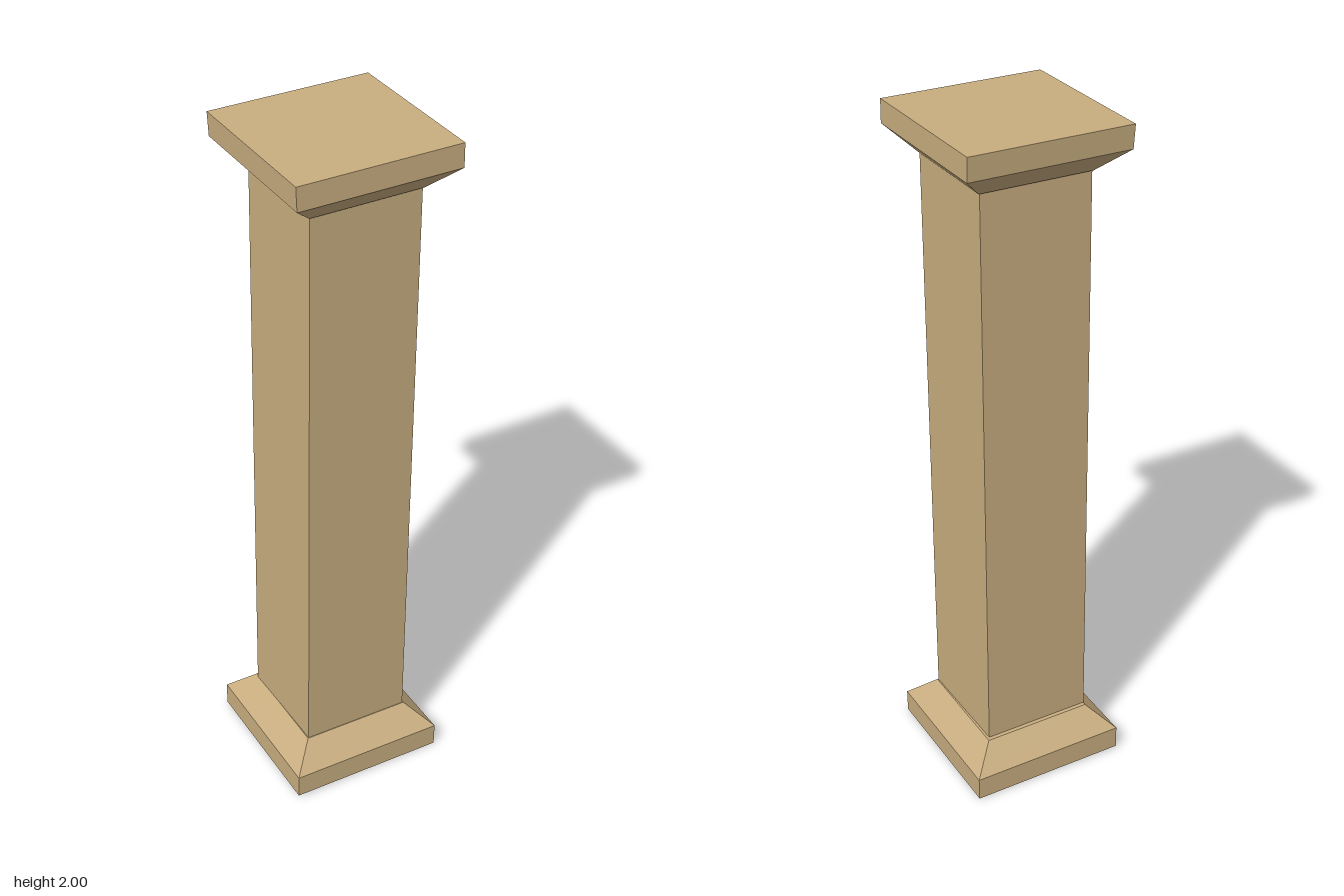
import * as THREE from 'three';

const sandstone = new THREE.MeshStandardMaterial({ color: 0xc8ad7f });
sandstone.name = 'sandstone';

// Four-sided block between two rectangles { x, y, z, w, d } (centre and half sizes).
// tilt slants the levels along x and z; skew slides the back edge sideways.
function block(name, bottom, top, tilt = [0, 0], skew = 0) {
  const geometry = new THREE.BoxGeometry(2, 2, 2);
  const p = geometry.attributes.position;
  for (let i = 0; i < p.count; i++) {
    const level = p.getY(i) > 0 ? top : bottom;
    const z = level.z + p.getZ(i) * level.d;
    const x = level.x + p.getX(i) * level.w + (p.getZ(i) < 0 ? skew : 0);
    p.setXYZ(i, x, level.y + tilt[0] * x + tilt[1] * z, z);
  }
  geometry.computeVertexNormals();
  const mesh = new THREE.Mesh(geometry, sandstone);
  mesh.name = name;
  return mesh;
}

const square = (x, y, z, half) => ({ x, y, z, w: half, d: half });

export function createModel() {
  const pillar = new THREE.Group();
  pillar.name = 'pillar';

  // Base: square plinth with a sloped shoulder, settled slightly to one side
  const baseTilt = [-0.0125, 0];
  const plinthTop = square(-0.008, 0.073, -0.002, 0.234);
  pillar.add(
    block('plinth', square(-0.009, 0.003, -0.002, 0.234), plinthTop, baseTilt),
    block('baseShoulder', plinthTop, square(-0.008, 0.142, -0.003, 0.164), baseTilt)
  );

  // Shaft: leans slightly towards +x, ends buried in the base and capital
  pillar.add(block('shaft',
    { x: -0.008, y: 0.135, z: 0.002, w: 0.161, d: 0.157 },
    { x: 0.009, y: 1.87, z: 0.002, w: 0.161, d: 0.157 },
    [0, 0], -0.005));

  // Capital: flared neck under a square slab, tipped forward and to one side
  const capTilt = [0.012, -0.016];
  const slabBottom = square(0.006, 1.926, 0.002, 0.234);
  pillar.add(
    block('capitalNeck', square(0.007, 1.859, 0.002, 0.164), slabBottom, capTilt),
    block('capitalSlab', slabBottom, square(0.005, 1.993, 0, 0.235), capTilt)
  );
  return pillar;
}
